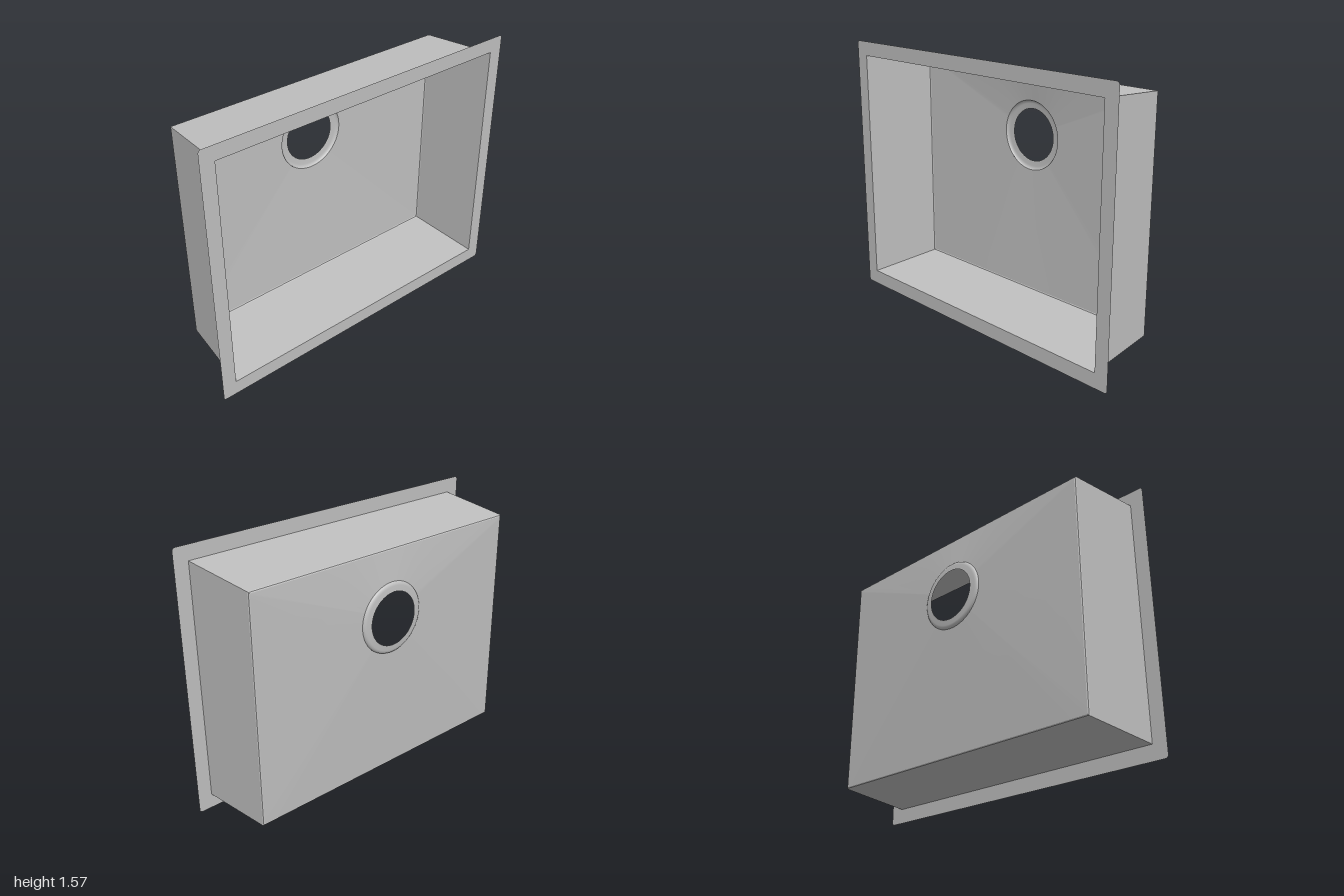
import * as THREE from 'three';

const DRAIN_Y = 1.07, DRAIN_R = 0.206;

// Rectangular section of the bowl: half width, bottom, top, depth
const TOP = [0.917, 0.088, 1.485, 0.25];
const LOW = [0.884, 0.119, 1.454, -0.203];
const MID = [0.881, 0.122, 1.451, -0.209];
const BASE = [0.875, 0.128, 1.445, -0.212];

const corners = ([w, b, t, z]) => [[w, b, z], [w, t, z], [-w, t, z], [-w, b, z]];

// Join closed loops of equal length; flat gives every quad its own normal
function skin(loops, flat) {
  const n = loops[0].length, index = [];
  for (let j = 0; j < loops.length - 1; j++) {
    for (let i = 0; i < n; i++) {
      const a = j * n + i, b = j * n + (i + 1) % n;
      index.push(a, b, a + n, b, b + n, a + n);
    }
  }
  let geo = new THREE.BufferGeometry();
  geo.setAttribute('position', new THREE.Float32BufferAttribute(loops.flat(2), 3));
  geo.setIndex(index);
  if (flat) geo = geo.toNonIndexed();
  geo.computeVertexNormals();
  return geo;
}

// Where a ray from the drain centre meets a rectangular section
function rayHit([w, b, t, z], angle) {
  const c = Math.cos(angle), s = Math.sin(angle);
  const kx = w / Math.max(Math.abs(c), 1e-6);
  const ky = (s > 0 ? t - DRAIN_Y : DRAIN_Y - b) / Math.max(Math.abs(s), 1e-6);
  const k = Math.min(kx, ky);
  return [c * k, DRAIN_Y + s * k, z];
}

export function createModel() {
  const group = new THREE.Group();
  const steel = new THREE.MeshStandardMaterial({ color: 0xc0c0c0, side: THREE.DoubleSide });
  const add = (name, geo) => {
    const mesh = new THREE.Mesh(geo, steel);
    mesh.name = name;
    group.add(mesh);
    return mesh;
  };

  // Thin flange with rounded corners around the opening
  const r = 0.018, h = 1.57;
  const rim = new THREE.Shape();
  rim.absarc(1 - r, r, r, -Math.PI / 2, 0);
  rim.absarc(1 - r, h - r, r, 0, Math.PI / 2);
  rim.absarc(-1 + r, h - r, r, Math.PI / 2, Math.PI);
  rim.absarc(-1 + r, r, r, Math.PI, Math.PI * 1.5);
  rim.holes.push(new THREE.Path(corners(TOP).map(([x, y]) => new THREE.Vector2(x, y))));
  add('rim', new THREE.ShapeGeometry(rim, 5)).position.z = 0.25;

  // Tapered walls and the small bevel where they turn into the floor
  add('walls', skin([corners(TOP), corners(LOW)], true));
  add('floorBevel', skin([corners(LOW), corners(MID), corners(BASE)], true));

  // Floor falling from the rectangular edge to the round drain
  const angles = [];
  for (let i = 0; i < 64; i++) angles.push(i / 64 * Math.PI * 2);
  for (const [x, y] of corners(BASE)) {
    angles.push((Math.atan2(y - DRAIN_Y, x) + Math.PI * 2) % (Math.PI * 2));
  }
  angles.sort((a, b) => a - b);
  const edge = angles.map(a => rayHit(BASE, a));
  const ring = angles.map(a => [Math.cos(a) * DRAIN_R, DRAIN_Y + Math.sin(a) * DRAIN_R, -0.232]);
  add('floor', skin([edge, ring], false));

  // Stepped drain seat with an open hole
  const profile = [[DRAIN_R, -0.232], [0.203, -0.239], [0.196, -0.244], [0.186, -0.247],
    [0.165, -0.248], [0.155, -0.25]].map(p => new THREE.Vector2(...p));
  const drain = new THREE.LatheGeometry(profile, 64);
  drain.rotateX(Math.PI / 2);
  add('drainSeat', drain).position.y = DRAIN_Y;

  return group;
}
